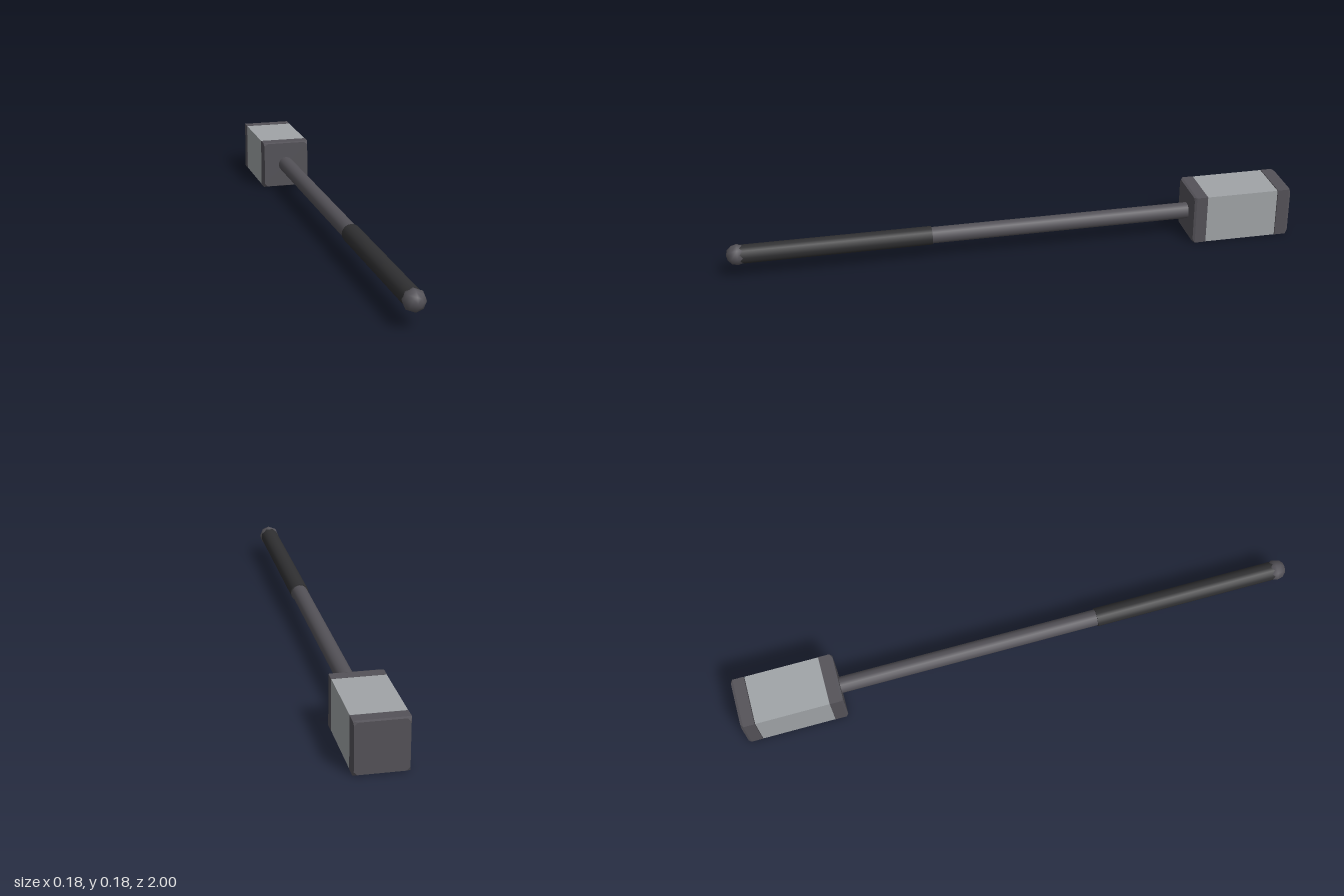
import * as THREE from 'three';
import { ConvexGeometry } from 'three/addons/geometries/ConvexGeometry.js';

const HALF = 0.0885; // half width of the square head
const AXIS = 0.0885; // height of the handle axis

// Square end cap, bevelled with clipped corners on its outer face
function capGeometry(depth) {
  const bevel = 0.008, inner = HALF - 0.003, clip = inner - 0.011;
  const points = [];
  for (const sx of [-1, 1]) {
    for (const sy of [-1, 1]) {
      points.push(
        new THREE.Vector3(sx * HALF, sy * HALF, 0),
        new THREE.Vector3(sx * HALF, sy * HALF, depth - bevel),
        new THREE.Vector3(sx * inner, sy * clip, depth),
        new THREE.Vector3(sx * clip, sy * inner, depth)
      );
    }
  }
  return new ConvexGeometry(points);
}

// Cylinder lying along z between two positions
function rod(radius, z0, z1, sides) {
  return new THREE.CylinderGeometry(radius, radius, z1 - z0, sides)
    .rotateX(Math.PI / 2)
    .translate(0, 0, (z0 + z1) / 2);
}

export function createModel() {
  const material = (name, color) => {
    const m = new THREE.MeshStandardMaterial({ color });
    m.name = name;
    return m;
  };
  const darkSteel = material('dark steel', 0x545258);
  const paleMetal = material('pale metal', 0xa0a4a7);
  const gripBlack = material('grip black', 0x303032);

  const model = new THREE.Group();
  model.name = 'longHammer';
  const add = (name, geometry, mat, parent = model) => {
    const mesh = new THREE.Mesh(geometry, mat);
    mesh.name = name;
    parent.add(mesh);
    return mesh;
  };

  // Head: pale block between two dark caps
  const head = new THREE.Group();
  head.name = 'head';
  model.add(head);
  const block = HALF * 2 - 0.001;
  add('headBlock', new THREE.BoxGeometry(block, block, 0.26).translate(0, 0, -0.82), paleMetal, head);
  add('frontCap', capGeometry(0.048), darkSteel, head).position.z = -0.69;
  const backCap = add('backCap', capGeometry(0.048), darkSteel, head);
  backCap.position.z = -0.952;
  backCap.rotation.y = Math.PI;

  // Handle: shaft, wrapped grip and round pommel
  add('shaft', rod(0.029, -0.66, 0.31, 16), darkSteel);
  add('grip', rod(0.033, 0.29, 0.955, 16), gripBlack);
  add('pommel', new THREE.SphereGeometry(0.038, 8, 6).rotateX(Math.PI / 2).translate(0, 0, 0.962), darkSteel);

  for (const child of model.children) child.position.y = AXIS;
  return model;
}
